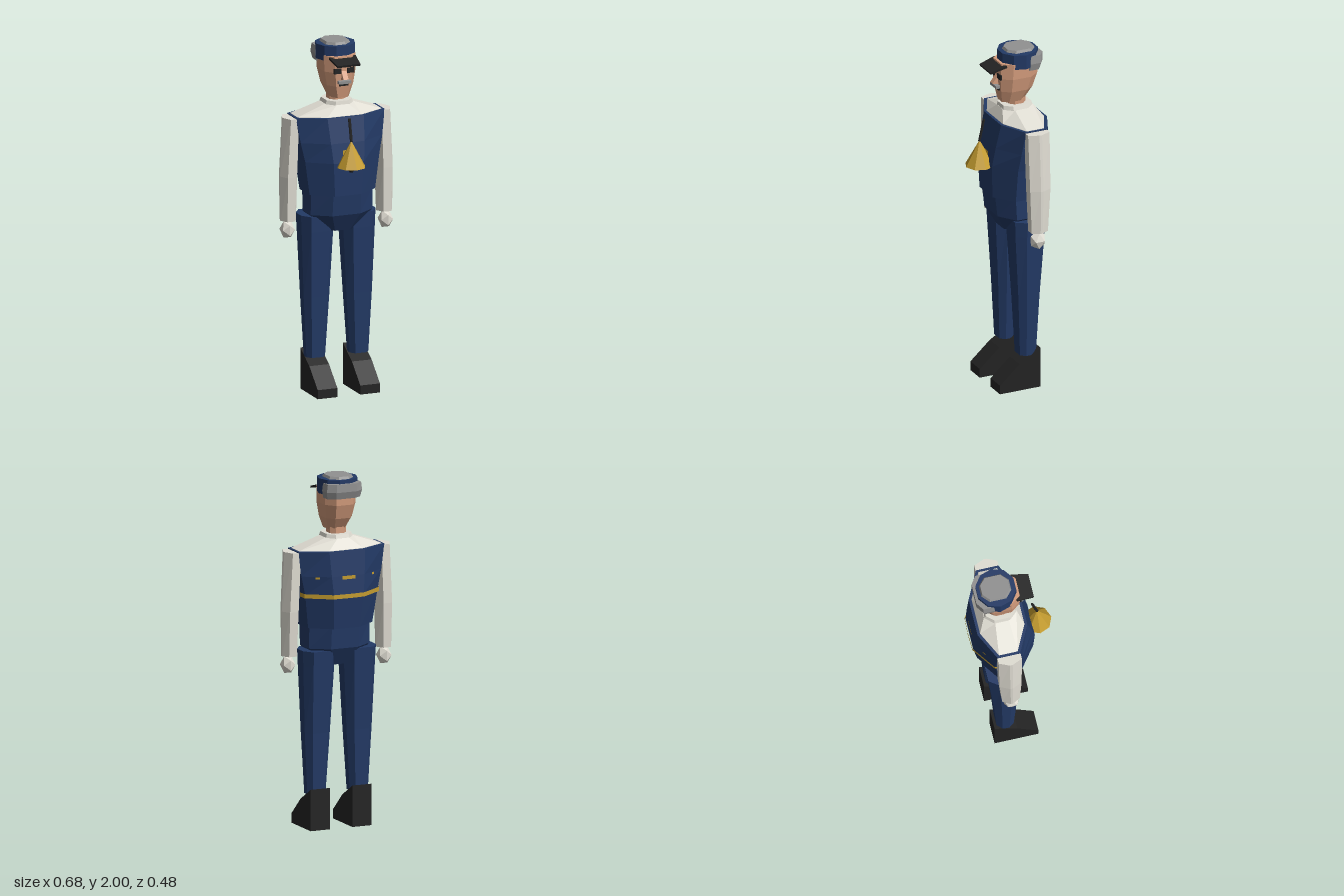
import * as THREE from 'three';

const mat = (name, color) => {
  const m = new THREE.MeshStandardMaterial({ color });
  m.name = name;
  m.flatShading = true;
  return m;
};

// Closed loft of eight-sided sections: [y, centreX, halfWidth, zFront, zBack]
// kx, kz say how far along each side the corners are cut.
function loft(sections, kx, kz) {
  const pos = [], idx = [];
  for (const [y, cx, hw, zf, zb] of sections) {
    const cz = (zf + zb) / 2, hd = (zf - zb) / 2;
    const ring = [[kx, 1], [1, kz], [1, -kz], [kx, -1], [-kx, -1], [-1, -kz], [-1, kz], [-kx, 1]];
    for (const [u, v] of ring) pos.push(cx + u * hw, y, cz + v * hd);
  }
  const last = (sections.length - 1) * 8;
  for (let s = 0; s < last; s += 8) {
    for (let i = 0; i < 8; i++) {
      const j = (i + 1) % 8;
      idx.push(s + i, s + j, s + 8 + j, s + i, s + 8 + j, s + 8 + i);
    }
  }
  for (let i = 1; i < 7; i++) idx.push(0, i + 1, i, last, last + i, last + i + 1);
  const g = new THREE.BufferGeometry();
  g.setAttribute('position', new THREE.Float32BufferAttribute(pos, 3));
  g.setIndex(idx);
  const flat = g.toNonIndexed();
  flat.computeVertexNormals();
  return flat;
}

// Side outline given as [z, y], extruded across x
function sideProfile(points, width) {
  const shape = new THREE.Shape(points.map(([z, y]) => new THREE.Vector2(-z, y)));
  const g = new THREE.ExtrudeGeometry(shape, { depth: width, bevelEnabled: false });
  return g.translate(0, 0, -width / 2).rotateY(Math.PI / 2);
}

export function createModel() {
  const root = new THREE.Group();
  root.name = 'uniformedMan';
  const navy = mat('navy cloth', 0x233a66);
  const white = mat('off-white cloth', 0xe0ddd3);
  const gold = mat('gold', 0xc49c30);
  const skin = mat('skin', 0xd49c7c);
  const black = mat('black', 0x232323);
  const grey = mat('grey', 0x919191);
  gold.side = THREE.DoubleSide;

  const add = (name, geometry, material, x = 0, y = 0, z = 0) => {
    const m = new THREE.Mesh(geometry, material);
    m.name = name;
    m.position.set(x, y, z);
    root.add(m);
    return m;
  };
  const box = (w, h, d) => new THREE.BoxGeometry(w, h, d);

  // Body
  add('vest', loft([
    [1.15, 0, 0.197, 0.115, -0.205],
    [1.34, 0, 0.222, 0.122, -0.23],
    [1.45, 0, 0.245, 0.105, -0.222],
    [1.59, 0, 0.266, 0.075, -0.208],
  ], 0.41, 0.45), navy);
  add('hips', loft([
    [0.93, 0, 0.1, 0.03, -0.12],
    [1.03, 0, 0.185, 0.085, -0.175],
    [1.16, 0, 0.185, 0.1, -0.187],
  ], 0.45, 0.45), navy);
  add('shoulders', loft([
    [1.585, 0, 0.252, 0.06, -0.193],
    [1.592, 0, 0.252, 0.06, -0.193],
    [1.65, 0, 0.085, 0.03, -0.155],
  ], 0.41, 0.42), white);
  add('collar', loft([
    [1.64, 0, 0.085, 0.03, -0.155],
    [1.67, 0, 0.075, 0.025, -0.145],
  ], 0.5, 0.5), white);

  // Head
  add('neck', loft([
    [1.62, 0, 0.05, -0.015, -0.115],
    [1.72, 0, 0.05, -0.015, -0.115],
  ], 0.5, 0.5), skin);
  add('head', loft([
    [1.69, 0, 0.052, 0.03, -0.105],
    [1.76, 0, 0.079, 0.042, -0.15],
    [1.84, 0, 0.093, 0.05, -0.176],
    [1.93, 0, 0.095, 0.045, -0.18],
  ], 0.55, 0.5), skin);
  add('nose', sideProfile([[0.04, 1.86], [0.04, 1.795], [0.082, 1.805]], 0.03), skin);
  add('moustache', box(0.075, 0.016, 0.025), grey, 0, 1.786, 0.058);
  add('mouth', box(0.055, 0.014, 0.008), black, 0, 1.769, 0.046);
  for (const s of [-1, 1]) add('eye', box(0.042, 0.03, 0.009), black, s * 0.039, 1.85, 0.05);
  add('hair', loft([
    [1.88, 0, 0.1, -0.08, -0.19],
    [1.92, 0, 0.108, -0.08, -0.204],
    [1.965, 0, 0.102, -0.08, -0.203],
  ], 0.58, 0.5), grey);

  // Cap
  const band = new THREE.CylinderGeometry(0.114, 0.114, 0.085, 10).rotateY(Math.PI / 2);
  add('capBand', band, navy, 0, 1.943, -0.079);
  add('capTop', loft([
    [1.98, 0, 0.076, 0.005, -0.172],
    [2, 0, 0.066, -0.005, -0.162],
  ], 0.42, 0.55), grey);
  const visor = box(0.16, 0.012, 0.1);
  const vp = visor.attributes.position;
  for (let i = 0; i < vp.count; i++) if (vp.getZ(i) > 0) vp.setX(i, vp.getX(i) * 0.86);
  add('visor', visor, black, 0, 1.907, 0.072).rotation.x = 0.27;

  // Limbs, mirrored
  for (const s of [-1, 1]) {
    add('arm', loft([
      [0.995, s * 0.289, 0.046, -0.015, -0.115],
      [1.25, s * 0.287, 0.052, -0.005, -0.13],
      [1.585, s * 0.272, 0.05, 0, -0.132],
    ], 0.5, 0.12), white);
    add('hand', new THREE.IcosahedronGeometry(1, 0).scale(0.042, 0.055, 0.05), white, s * 0.295, 0.943, -0.06);
    add('leg', loft([
      [0.2, s * 0.13, 0.056, -0.015, -0.113],
      [0.55, s * 0.128, 0.077, 0, -0.13],
      [0.93, s * 0.125, 0.095, 0.022, -0.158],
      [1.02, s * 0.125, 0.099, 0.025, -0.165],
    ], 0.6, 0.4), navy);
    add('boot', sideProfile([
      [0.12, 0], [0.12, 0.052], [0, 0.16], [-0.13, 0.235], [-0.13, 0],
    ], 0.118), black, s * 0.128);
  }

  // Bell hanging at the chest
  add('bell', new THREE.ConeGeometry(0.082, 0.15, 8), gold, 0, 1.398, 0.155);
  add('clapper', new THREE.IcosahedronGeometry(0.018, 0), black, 0, 1.307, 0.155);
  add('bellHandle', new THREE.CylinderGeometry(0.008, 0.008, 0.13, 6), black, 0, 1.53, 0.142).rotation.x = -0.22;

  // Gold trim around the back of the vest
  const strip = (name, path, y, h) => {
    const pos = [], idx = [];
    path.forEach(([x, z], i) => {
      pos.push(x, y - h / 2, z, x, y + h / 2, z);
      if (i) idx.push(2 * i - 2, 2 * i, 2 * i + 1, 2 * i - 2, 2 * i + 1, 2 * i - 1);
    });
    const g = new THREE.BufferGeometry();
    g.setAttribute('position', new THREE.Float32BufferAttribute(pos, 3));
    g.setIndex(idx);
    const flat = g.toNonIndexed();
    flat.computeVertexNormals();
    add(name, flat, gold);
  };
  strip('backBand', [
    [0.229, -0.08], [0.229, -0.138], [0.094, -0.234], [0, -0.238],
    [-0.094, -0.234], [-0.229, -0.138], [-0.229, -0.08],
  ], 1.338, 0.024);
  strip('backPatch', [[0.04, -0.228], [-0.04, -0.228]], 1.442, 0.02);
  for (const s of [-1, 1]) strip('sidePatch', [[s * 0.16, -0.191], [s * 0.18, -0.177]], 1.442, 0.012);
  strip('chestPatch', [[-0.035, 0.119], [0.035, 0.119]], 1.4, 0.025);

  return root;
}
